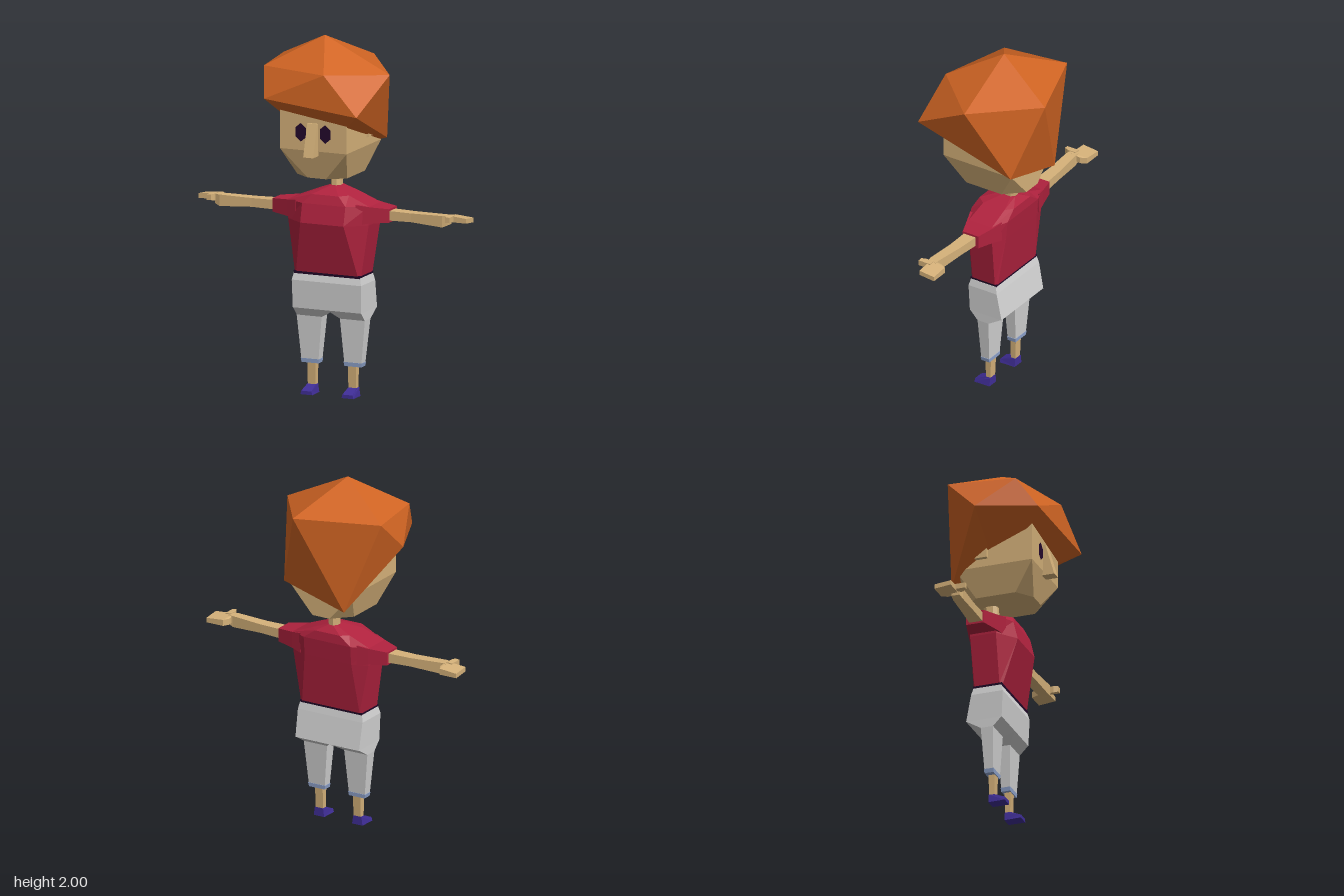
import * as THREE from 'three';
import { ConvexGeometry } from 'three/addons/geometries/ConvexGeometry.js';

const mat = (name, color) => {
  const m = new THREE.MeshStandardMaterial({ color });
  m.name = name;
  return m;
};

// Flat-faced solid from triangles of points, turned so that it faces outward
function solid(tris) {
  let volume = 0;
  for (const [a, b, c] of tris) volume += a.clone().cross(b).dot(c);
  const pts = tris.flatMap(([a, b, c]) => (volume < 0 ? [a, c, b] : [a, b, c]));
  const g = new THREE.BufferGeometry().setFromPoints(pts);
  g.computeVertexNormals();
  return g;
}

// Skin between equal-sized closed cross-sections, with capped ends; side -1 mirrors in x
function loft(rings, side = 1) {
  const R = rings.map(r => r.map(([x, y, z]) => new THREE.Vector3(x * side, y, z)));
  const n = R[0].length, last = R[R.length - 1], tris = [];
  for (let k = 0; k + 1 < R.length; k++)
    for (let i = 0; i < n; i++) {
      const j = (i + 1) % n;
      tris.push([R[k][i], R[k][j], R[k + 1][j]], [R[k][i], R[k + 1][j], R[k + 1][i]]);
    }
  for (let i = 1; i + 1 < n; i++)
    tris.push([R[0][0], R[0][i + 1], R[0][i]], [last[0], last[i], last[i + 1]]);
  return solid(tris);
}

// Horizontal rectangle at height y
const flat = (y, x0, x1, z0, z1) => [[x0, y, z1], [x1, y, z1], [x1, y, z0], [x0, y, z0]];
// Upright rectangle at distance x
const upright = (x, y0, y1, z0, z1) => [[x, y0, z0], [x, y0, z1], [x, y1, z1], [x, y1, z0]];
// Horizontal eight-sided section: front half width and z, side x and z range, back half width and z
const octagon = (y, fx, zf, sx, z1, z0, bx, zb) => [
  [-fx, y, zf], [fx, y, zf], [sx, y, z1], [sx, y, z0],
  [bx, y, zb], [-bx, y, zb], [-sx, y, z0], [-sx, y, z1]];

// Distorted twenty-sided hair mass
function hairGeometry() {
  const v = p => new THREE.Vector3(...p);
  const top = v([-0.04, 2, 0.01]), bottom = v([-0.03, 1.36, 0]);
  const upper = [[-0.375, 1.84, -0.18], [0.09, 1.84, -0.345], [0.35, 1.81, 0.01],
    [0.09, 1.84, 0.305], [-0.32, 1.84, 0.195]].map(v);
  const lower = [[-0.17, 1.31, -0.235], [0.23, 1.41, -0.213], [0.305, 1.63, 0.343],
    [-0.268, 1.68, 0.305], [-0.41, 1.67, -0.01]].map(v);
  const tris = [];
  for (let i = 0; i < 5; i++) {
    const j = (i + 1) % 5;
    tris.push([top, upper[j], upper[i]], [upper[i], upper[j], lower[i]],
      [lower[i], upper[j], lower[j]], [bottom, lower[i], lower[j]]);
  }
  return solid(tris);
}

export function createModel() {
  const model = new THREE.Group();
  model.name = 'figure';
  const skin = mat('skin', 0xd6b27a), hairColor = mat('hair orange', 0xd06423);
  const red = mat('shirt red', 0xb0223e), grey = mat('shorts grey', 0xd2d2d2);
  const blue = mat('cuff blue', 0x93a8d2), violet = mat('shoe violet', 0x402e98);
  const dark = mat('dark purple', 0x24082c);
  const add = (name, geometry, material) => {
    const mesh = new THREE.Mesh(geometry, material);
    mesh.name = name;
    model.add(mesh);
    return mesh;
  };

  // Head with a chamfered jaw
  add('hair', hairGeometry(), hairColor);
  const headPoints = [
    ...flat(1.64, -0.2, 0.2, -0.17, 0.245), ...flat(1.4, -0.2, 0.2, -0.2, 0.245),
    ...octagon(1.24, 0.055, 0.2, 0.15, 0.13, -0.1, 0.055, -0.2),
  ].map(p => new THREE.Vector3(...p));
  add('head', new ConvexGeometry(headPoints), skin);
  add('nose', loft([flat(1.375, -0.03, 0.03, 0.23, 0.31), flat(1.555, -0.03, 0.03, 0.23, 0.258)]), skin);
  add('neck', loft([
    octagon(1.1, 0.014, -0.02, 0.028, -0.04, -0.07, 0.014, -0.09),
    octagon(1.26, 0.014, -0.03, 0.028, -0.05, -0.09, 0.014, -0.11)]), skin);

  // Shirt body
  add('shirt', loft([
    octagon(0.685, 0.185, 0.07, 0.2, 0.055, -0.09, 0.185, -0.1),
    octagon(0.97, 0.13, 0.135, 0.242, 0.05, -0.1, 0.15, -0.13),
    octagon(1.075, 0.13, 0.11, 0.245, 0.05, -0.1, 0.15, -0.14),
    octagon(1.125, 0.08, 0.09, 0.12, 0.04, -0.1, 0.08, -0.135),
    octagon(1.16, 0.015, -0.005, 0.025, -0.03, -0.08, 0.015, -0.1)]), red);
  add('waistband', loft([flat(0.67, -0.197, 0.197, -0.097, 0.067), flat(0.687, -0.201, 0.201, -0.1, 0.07)]), dark);

  // Shorts: hips
  add('hips', loft([
    flat(0.48, -0.205, 0.205, -0.137, 0.07),
    flat(0.635, -0.208, 0.208, -0.107, 0.077),
    flat(0.675, -0.2, 0.2, -0.097, 0.066)]), grey);

  for (const s of [1, -1]) {
    const side = s > 0 ? 'left' : 'right';
    const part = (name, rings, material) => add(side + name, loft(rings, s), material);

    // Face
    const eye = add(side + 'Eye', new THREE.CircleGeometry(1, 6, Math.PI / 2), dark);
    eye.scale.set(0.036, 0.052, 1);
    eye.position.set(s * 0.073, 1.5, 0.248);
    part('Ear', [upright(0.19, 1.44, 1.54, -0.09, -0.01), upright(0.213, 1.45, 1.54, -0.085, -0.015)], skin);

    // Sleeve and arm
    part('Sleeve', [
      upright(0.18, 0.97, 1.085, -0.125, 0.085),
      upright(0.245, 0.983, 1.075, -0.11, 0.06),
      upright(0.35, 0.99, 1.065, -0.082, 0.02)], red);
    part('Arm', [
      upright(0.32, 1.0, 1.054, -0.066, 0.012),
      upright(0.48, 1.003, 1.052, -0.055, 0.012),
      upright(0.67, 0.992, 1.056, -0.036, 0.02),
      upright(0.7, 1.005, 1.056, -0.036, 0.012)], skin);
    // Slightly tilted hand and thumb
    const palm = (x, z0, t) => [[x, 1.012, z0], [x, 1.022, 0], [x, 1.022 + t, 0], [x, 1.012 + t, z0]];
    part('Hand', [palm(0.68, -0.06, 0.035), palm(0.698, -0.095, 0.035), palm(0.805, -0.095, 0.026)], skin);
    part('Thumb', [
      upright(0.695, 1.022, 1.06, -0.02, 0.03),
      upright(0.705, 1.028, 1.06, -0.02, 0.055),
      upright(0.73, 1.028, 1.058, -0.02, 0.055)], skin);

    // Trouser leg, cuff, ankle and shoe
    part('ShortsLeg', [
      flat(0.482, 0, 0.205, -0.137, 0.07),
      flat(0.43, 0.055, 0.205, -0.052, 0.02),
      flat(0.19, 0.077, 0.181, -0.04, 0.012)], grey);
    part('Cuff', [flat(0.19, 0.074, 0.184, -0.042, 0.014), flat(0.167, 0.078, 0.179, -0.04, 0.012)], blue);
    part('Ankle', [flat(0.03, 0.099, 0.145, -0.024, 0.004), flat(0.18, 0.097, 0.147, -0.03, 0.008)], skin);
    part('Shoe', [
      [[0.088, 0, 0.07], [0.16, 0, 0.07], [0.157, 0, -0.026], [0.09, 0, -0.026]],
      [[0.093, 0.02, 0.07], [0.154, 0.02, 0.07], [0.15, 0.048, -0.026], [0.097, 0.048, -0.026]],
      [[0.098, 0.048, 0.006], [0.148, 0.048, 0.006], [0.148, 0.049, -0.026], [0.098, 0.049, -0.026]]], violet);
  }
  return model;
}
